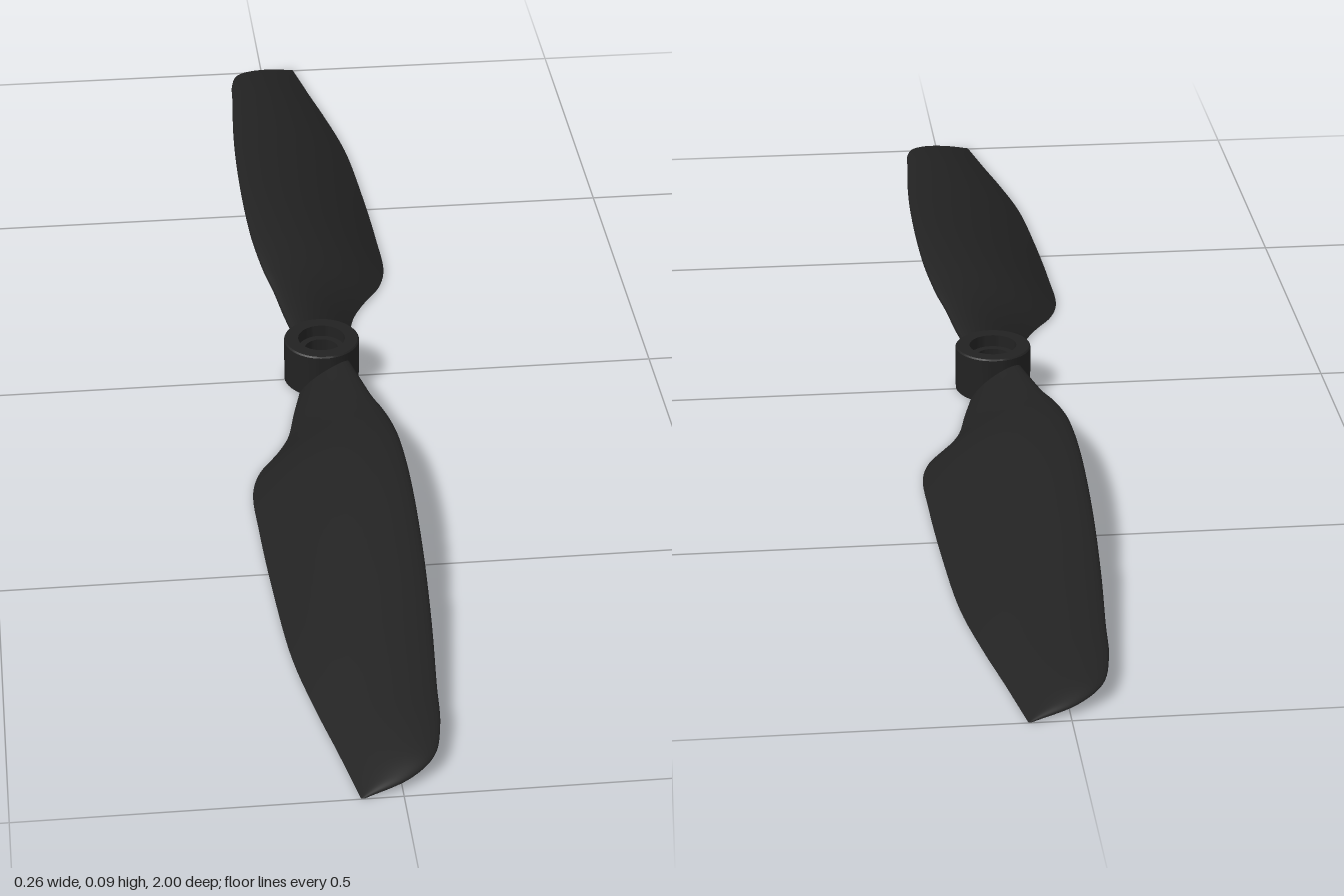
import * as THREE from 'three';
import { toCreasedNormals } from 'three/addons/utils/BufferGeometryUtils.js';

const material = new THREE.MeshStandardMaterial({ color: 0x222222, side: THREE.DoubleSide });

// Blade stations: z, trailing edge x, leading edge x, leading edge y, thickness
const stations = [
  [0.036, -0.036, 0.036, 0.052, 0.022],
  [0.10, -0.052, 0.048, 0.056, 0.022],
  [0.16, -0.066, 0.058, 0.063, 0.022],
  [0.20, -0.085, 0.067, 0.069, 0.023],
  [0.25, -0.116, 0.075, 0.076, 0.024],
  [0.30, -0.130, 0.080, 0.080, 0.025],
  [0.40, -0.130, 0.083, 0.080, 0.025],
  [0.55, -0.124, 0.081, 0.067, 0.023],
  [0.70, -0.113, 0.074, 0.049, 0.020],
  [0.82, -0.092, 0.065, 0.037, 0.016],
  [0.90, -0.075, 0.059, 0.030, 0.013],
  [0.95, -0.065, 0.045, 0.022, 0.010],
  [0.98, -0.059, 0.010, 0.012, 0.006],
  [1.00, -0.055, -0.050, 0.001, 0.001],
];

const curve = (fn) => new THREE.CatmullRomCurve3(stations.map(fn));

// Half thickness of a round-nosed aerofoil, u measured from the nose
const halfThickness = (u) =>
  5 * (0.2969 * Math.sqrt(u) - 0.126 * u - 0.3516 * u ** 2 + 0.2843 * u ** 3 - 0.1036 * u ** 4);

// Loft cambered aerofoil sections between the two edge curves
function bladeGeometry() {
  const trailing = curve(([z, xt]) => new THREE.Vector3(xt, 0.001, z));
  const leading = curve(([z, , xl, yl]) => new THREE.Vector3(xl, yl, z));
  const thickness = curve(([z, , , , t]) => new THREE.Vector3(t, 0, z));
  const rows = 78, half = 14, loop = 2 * half + 1;
  const positions = [], index = [];
  for (let i = 0; i <= rows; i++) {
    const a = trailing.getPoint(i / rows);
    const b = leading.getPoint(i / rows);
    const thick = thickness.getPoint(i / rows).x;
    const chord = Math.hypot(b.x - a.x, b.y - a.y);
    const nx = -(b.y - a.y) / chord, ny = (b.x - a.x) / chord;
    for (let j = 0; j < loop; j++) {
      // Upper skin from trailing edge to nose, then lower skin back
      const s = (j - half) / half;
      const u = s * s;
      const t = 1 - u;
      const camber = 4 * 0.06 * chord * t * u;
      const offset = camber - Math.sign(s) * thick * halfThickness(u);
      const p = new THREE.Vector3().lerpVectors(a, b, t);
      positions.push(p.x + nx * offset, Math.max(0, p.y + ny * offset), p.z);
      if (i < rows && j < loop - 1) {
        const k = i * loop + j;
        index.push(k, k + loop, k + 1, k + 1, k + loop, k + loop + 1);
      }
    }
  }
  const geometry = new THREE.BufferGeometry();
  geometry.setAttribute('position', new THREE.Float32BufferAttribute(positions, 3));
  geometry.setIndex(index);
  geometry.computeVertexNormals();
  return geometry;
}

// Hub ring with a stepped shaft bore
function hubGeometry() {
  const profile = [
    [0.054, 0], [0.056, 0.002], [0.056, 0.068], [0.054, 0.07],
    [0.035, 0.07], [0.035, 0.052], [0.025, 0.052], [0.025, 0], [0.054, 0],
  ].map(([r, y]) => new THREE.Vector2(r, y));
  return toCreasedNormals(new THREE.LatheGeometry(profile, 48), 0.5);
}

export function createModel() {
  const model = new THREE.Group();
  model.name = 'propeller';

  const hub = new THREE.Mesh(hubGeometry(), material);
  hub.name = 'hub';
  model.add(hub);

  // Two identical blades, half a turn apart
  const geometry = bladeGeometry();
  ['frontBlade', 'backBlade'].forEach((name, i) => {
    const blade = new THREE.Mesh(geometry, material);
    blade.name = name;
    blade.rotation.y = i * Math.PI;
    model.add(blade);
  });
  return model;
}
